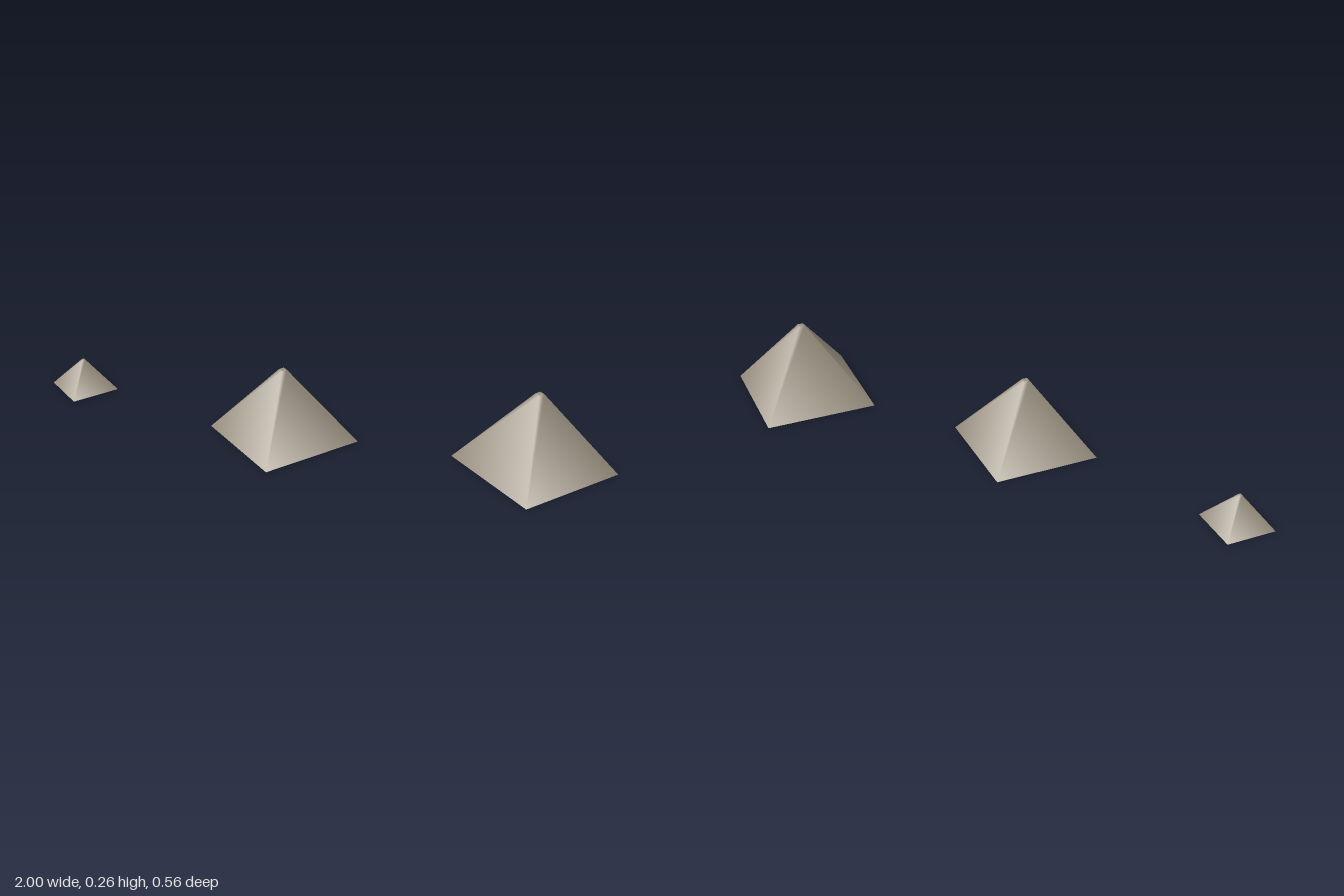
import * as THREE from 'three';

// name, centre x, centre z, base radius, height, turn about y
const PYRAMIDS = [
  ['smallPyramid', -0.88, -0.1, 0.12, 0.107, 0.08],
  ['middlePyramid', -0.103, 0.022, 0.252, 0.245, 0.08],
  ['largePyramid', 0.732, -0.015, 0.268, 0.265, 0.07],
];

export function createModel() {
  const model = new THREE.Group();
  model.name = 'pyramids';
  const stone = new THREE.MeshStandardMaterial({ color: 0x9c9282, side: THREE.DoubleSide });
  stone.name = 'sandstone';

  for (const [name, x, z, radius, height, turn] of PYRAMIDS) {
    const pyramid = new THREE.Group();
    pyramid.name = name;
    const topRadius = radius * 0.05;
    const capHeight = height * 0.008;
    const wallHeight = height - capHeight;

    // Four sloping walls, hollow and open underneath
    const walls = new THREE.Mesh(
      new THREE.CylinderGeometry(topRadius, radius, wallHeight, 4, 1, true), stone);
    walls.name = 'slopingWalls';
    walls.position.y = wallHeight / 2;

    // Blunt capstone
    const cap = new THREE.Mesh(
      new THREE.ConeGeometry(topRadius, capHeight, 4, 1, true), stone);
    cap.name = 'capstone';
    cap.position.y = wallHeight + capHeight / 2;

    pyramid.add(walls, cap);
    pyramid.position.set(x, 0, z);
    pyramid.rotation.y = turn;
    model.add(pyramid);
  }
  return model;
}
